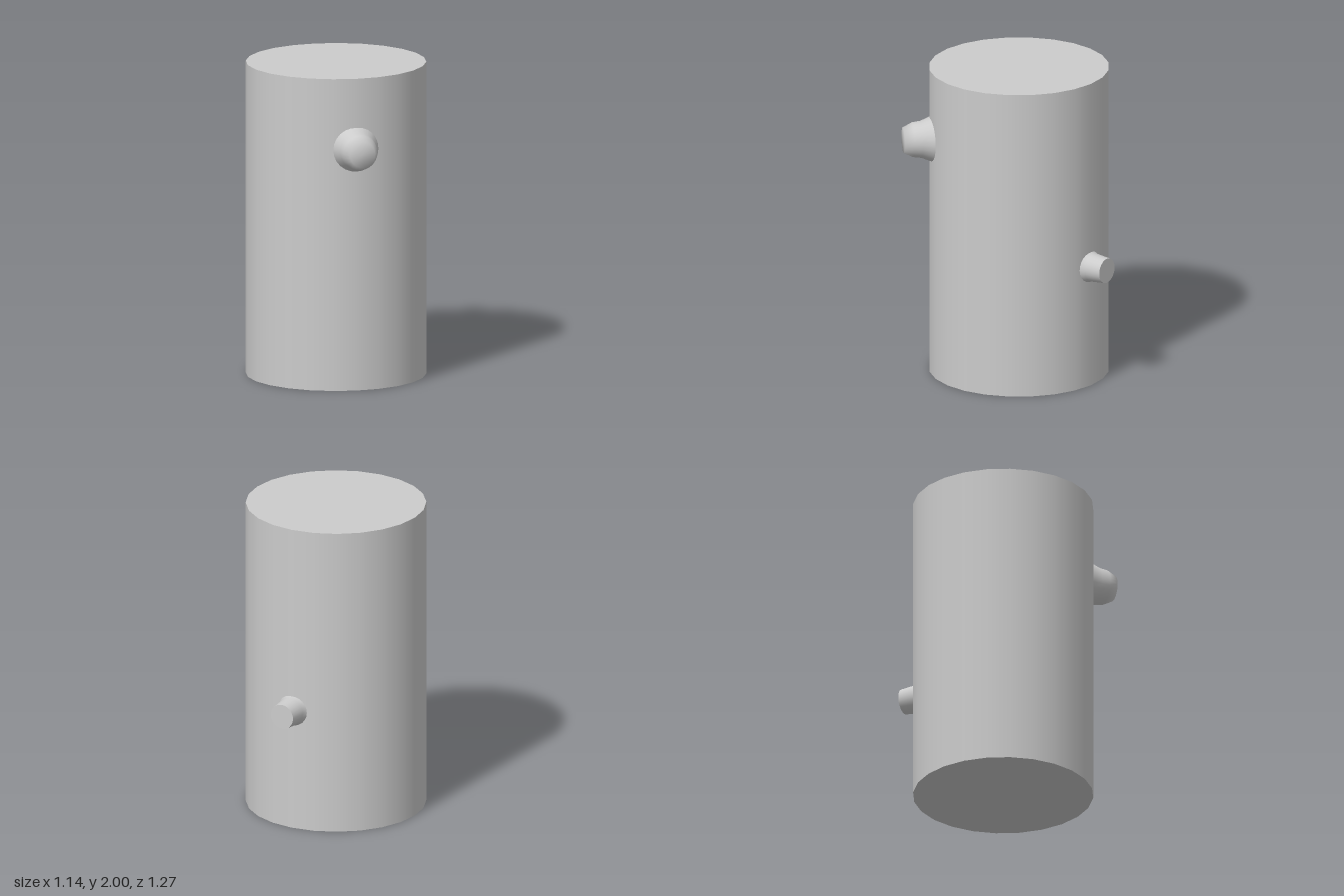
import * as THREE from 'three';

const material = new THREE.MeshStandardMaterial({ color: 0xcccccc });

// Stub growing out from the trunk axis; profile pairs are [radius, distance from axis]
function makeStub(name, profile, height, angle) {
  const points = profile.map(([r, d]) => new THREE.Vector2(r, d));
  const stub = new THREE.Group();
  stub.name = name;
  const bark = new THREE.Mesh(new THREE.LatheGeometry(points, 24), material);
  bark.name = name + 'Side';
  bark.rotation.x = Math.PI / 2;
  stub.add(bark);

  // Flat cut end, unless the profile already closes on its axis
  const [tipRadius, tipDistance] = profile[profile.length - 1];
  if (tipRadius > 0) {
    const cut = new THREE.Mesh(new THREE.CircleGeometry(tipRadius, 24), material);
    cut.name = name + 'End';
    cut.position.z = tipDistance;
    stub.add(cut);
  }
  stub.position.y = height;
  stub.rotation.y = angle;
  return stub;
}

export function createModel() {
  const model = new THREE.Group();
  model.name = 'log';

  // Main upright trunk
  const trunk = new THREE.Mesh(new THREE.CylinderGeometry(0.568, 0.568, 2, 24), material);
  trunk.name = 'trunk';
  trunk.position.y = 1;
  model.add(trunk);

  // Knobbly stub at the front left, with a softly shaded end
  model.add(makeStub('frontStub',
    [[0.15, 0.53], [0.143, 0.56], [0.117, 0.624], [0.11, 0.677], [0.081, 0.735], [0, 0.735]],
    1.545, Math.PI / 4));

  // Smaller stub at the back with a flat cut
  model.add(makeStub('backStub',
    [[0.108, 0.54], [0.1, 0.56], [0.09, 0.587], [0.08, 0.692]],
    0.785, Math.PI));

  model.position.set(-0.005, 0, 0.052);
  const root = new THREE.Group();
  root.add(model);
  return root;
}
